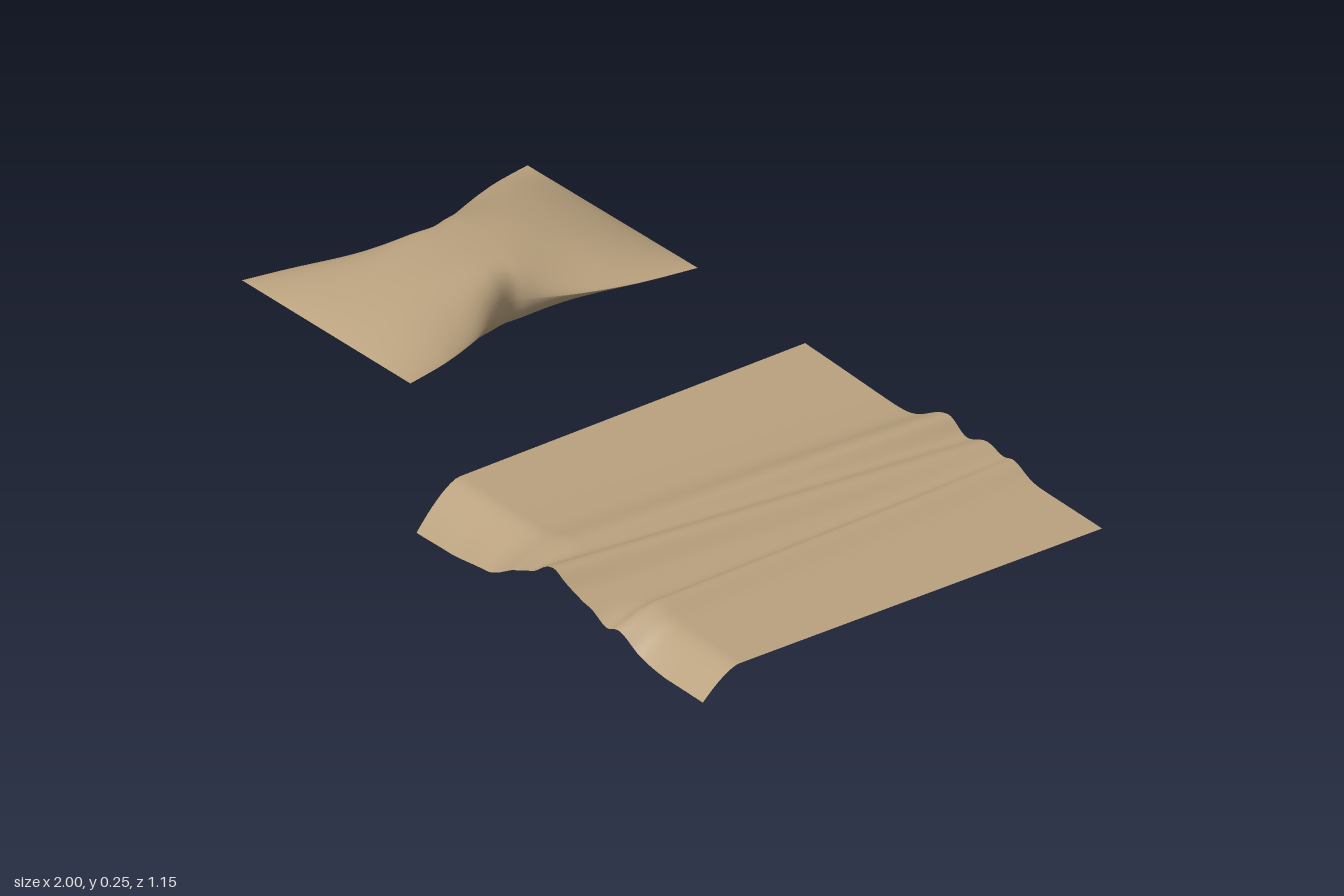
import * as THREE from 'three';

const smooth = THREE.MathUtils.smoothstep;
const lerp = THREE.MathUtils.lerp;
const points = (list) => list.map(([a, b]) => new THREE.Vector2(a, b));

// Smooth grid surface; point(u, v) gives [x, y, z], u runs to +x and v to +z
function sheet(nu, nv, point, faceDown = false) {
  const pos = [], idx = [];
  for (let j = 0; j <= nv; j++)
    for (let i = 0; i <= nu; i++) pos.push(...point(i / nu, j / nv));
  for (let j = 0; j < nv; j++)
    for (let i = 0; i < nu; i++) {
      const a = j * (nu + 1) + i, b = a + 1, c = a + nu + 1, d = c + 1;
      if (faceDown) idx.push(a, b, c, b, d, c);
      else idx.push(a, c, b, b, c, d);
    }
  const geo = new THREE.BufferGeometry();
  geo.setAttribute('position', new THREE.Float32BufferAttribute(pos, 3));
  geo.setIndex(idx);
  geo.computeVertexNormals();
  return geo;
}

// Linear lookup in a short [x, value] table
function table(rows, x) {
  if (x <= rows[0][0]) return rows[0][1];
  for (let i = 1; i < rows.length; i++) {
    const [x0, y0] = rows[i - 1], [x1, y1] = rows[i];
    if (x <= x1) return lerp(y0, y1, smooth(x, x0, x1) * 0.5 + ((x - x0) / (x1 - x0)) * 0.5);
  }
  return rows[rows.length - 1][1];
}

// Pillow seam lines (x, z), from back to front, pinched at the waist
const leftSeam = new THREE.SplineCurve(points([
  [-1, -0.46], [-0.975, -0.34], [-0.925, -0.21], [-0.865, -0.11], [-0.838, -0.05],
  [-0.855, 0.01], [-0.9, 0.1], [-0.94, 0.22], [-0.968, 0.365]]));
const rightSeam = new THREE.SplineCurve(points([
  [-0.4, -0.49], [-0.425, -0.34], [-0.465, -0.21], [-0.51, -0.11], [-0.525, -0.06],
  [-0.5, 0], [-0.44, 0.1], [-0.395, 0.22], [-0.368, 0.34]]));

function pillowPoint(side) {
  return (u, v) => {
    const s = Math.sin((u - 0.5) * Math.PI);
    const l = leftSeam.getPoint(v), r = rightSeam.getPoint(v), k = (s + 1) / 2;
    const z = (l.y + r.y) / 2;
    const t = (2 * (z + 0.475)) / 0.8275 - 1;
    const pinch = Math.exp(-(((z + 0.05) / 0.1) ** 2));
    const across = Math.max(0, 1 - Math.abs(s) ** lerp(2.4, 5, pinch)) ** lerp(0.85, 0.5, pinch);
    const along = Math.max(0, 1 - t * t) ** 0.9;
    return [lerp(l.x, r.x, k), 0.165 + side * 0.086 * across * along, lerp(l.y, r.y, k)];
  };
}

// Blanket rules: hem lines, depth of the front overhang, and folds
const backHem = [[-0.07, -0.545], [0.38, -0.54], [0.5, -0.56], [0.63, -0.575], [1, -0.58]];
const frontHem = [[-0.05, 0.56], [0.1, 0.56], [0.42, 0.572], [0.5, 0.567], [0.55, 0.555],
  [0.68, 0.56], [0.78, 0.545], [1, 0.54]];
const drop = [[-0.05, 0.103], [0.08, 0.098], [0.22, 0.078], [0.34, 0.042], [0.44, 0],
  [0.6, 0], [0.68, 0.03], [0.77, 0.056], [0.87, 0.066], [1, 0.067]];

// Rounded ridge with different slopes on its two sides
const ridge = (x, c, wl, wr) => Math.exp(-(((x - c) / (x < c ? wl : wr)) ** 2));

function blanketPoint(u, v) {
  const x = lerp(lerp(-0.07, -0.05, v), 1, u);
  const z = lerp(table(backHem, x), table(frontHem, x), v);
  const folds =
    lerp(0.055, 0.026, v) * ridge(x, 0.455 - 0.09 * v, 0.085, 0.045) +
    lerp(0.036, 0.05, v) * ridge(x, 0.58 - 0.105 * v, 0.06, 0.055) +
    0.027 * ridge(x, 0.675 + 0.035 * v, 0.035, 0.05);
  const overhang = Math.max(0, (z - 0.44) / (table(frontHem, x) - 0.44)) ** 1.5;
  return [x, 0.103 + folds - table(drop, x) * overhang, z];
}

export function createModel() {
  const cloth = new THREE.MeshStandardMaterial({ color: 0xb9a17e });
  cloth.name = 'tanCloth';
  cloth.side = THREE.DoubleSide;

  const model = new THREE.Group();
  model.name = 'bedding';

  // Pillow: two bulging panels meeting at the seam
  const pillow = new THREE.Group();
  pillow.name = 'pillow';
  for (const [name, side] of [['pillowTop', 1], ['pillowBottom', -1]]) {
    const panel = new THREE.Mesh(sheet(48, 56, pillowPoint(side), side < 0), cloth);
    panel.name = name;
    pillow.add(panel);
  }

  // Blanket: one thin sheet with folds and a hanging front edge
  const blanket = new THREE.Mesh(sheet(120, 80, blanketPoint), cloth);
  blanket.name = 'blanket';

  model.add(pillow, blanket);
  return model;
}
